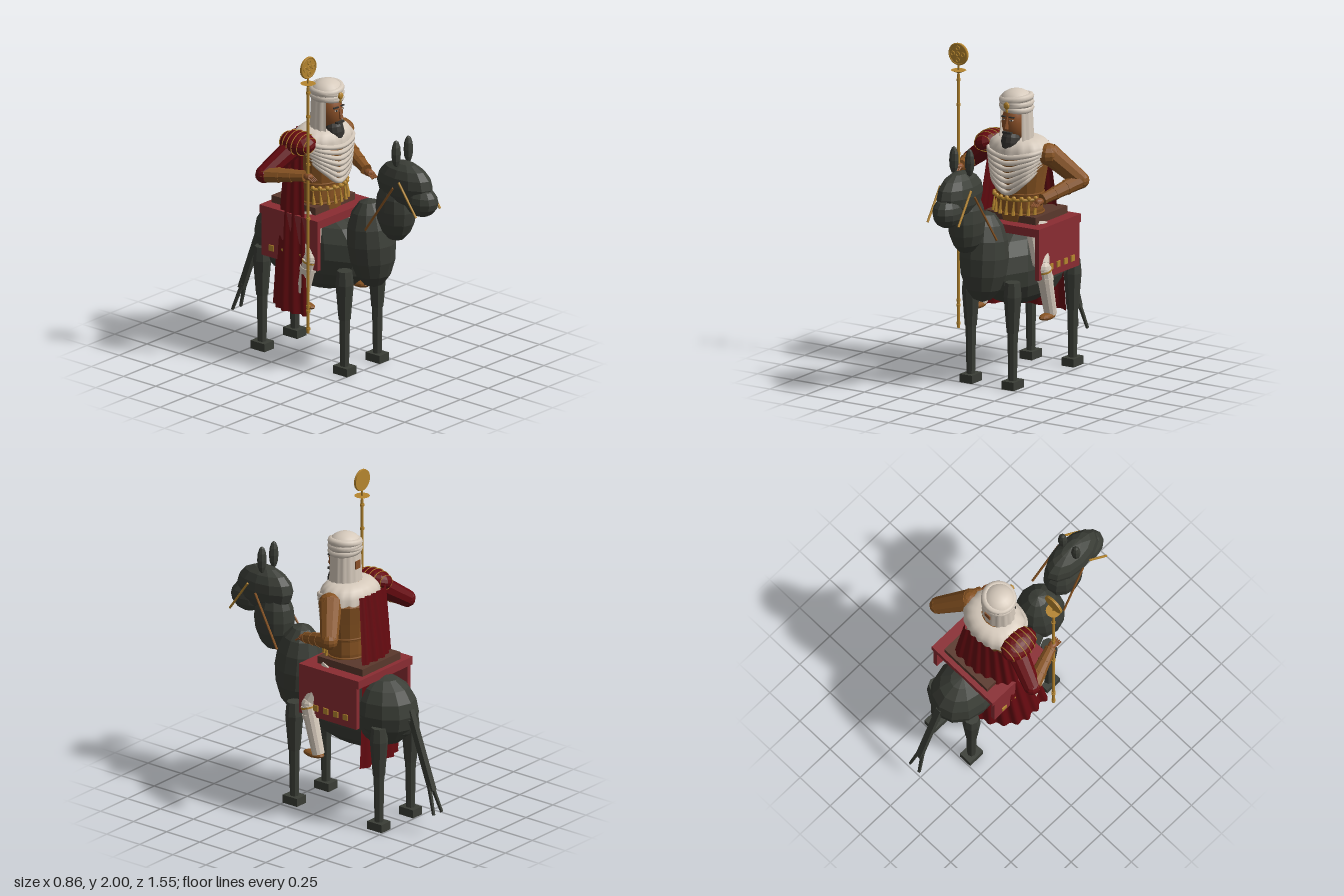
import * as THREE from 'three';

const mat = (name, color, side = THREE.FrontSide) => {
  const m = new THREE.MeshStandardMaterial({ color, side });
  m.name = name;
  return m;
};
const V = (x, y, z) => new THREE.Vector3(x, y, z);
const UP = V(0, 1, 0);

export function createModel() {
  const M = {
    hide: mat('dark hide', 0x3a3d36), cloth: mat('saddle cloth red', 0x8a2c32),
    cape: mat('deep red', 0x660a10, THREE.DoubleSide), leather: mat('brown leather', 0x875322),
    skin: mat('skin', 0x8a5028), linen: mat('linen', 0xd6cabc, THREE.DoubleSide),
    gold: mat('gold', 0xb5852e), saddle: mat('saddle brown', 0x5a382c), beard: mat('beard grey', 0x363430),
  };
  const model = new THREE.Group();
  const rig = new THREE.Group(); // horse and rider share one centre line
  rig.position.x = 0.033;
  rig.name = 'mountAndRider';
  model.add(rig);

  // helpers
  const flat = (g) => { const f = g.index ? g.toNonIndexed() : g; f.computeVertexNormals(); return f; };
  const add = (name, geo, m, p = [0, 0, 0], rot = [0, 0, 0], parent = rig) => {
    const mesh = new THREE.Mesh(geo, m);
    mesh.name = name;
    mesh.position.set(...p);
    mesh.rotation.set(...rot);
    parent.add(mesh);
    return mesh;
  };
  const box = (name, size, m, p, rot) => add(name, new THREE.BoxGeometry(...size), m, p, rot);
  const ball = (name, r, m, p, rot, ws = 12, hs = 8, smooth = false) => {
    const g = new THREE.SphereGeometry(1, ws, hs).scale(...r);
    return add(name, smooth ? g : flat(g), m, p, rot);
  };
  const limb = (name, a, b, ra, rb, m, sides = 8, parent = rig) => {
    const A = V(...a), B = V(...b), d = B.clone().sub(A);
    const mesh = add(name, flat(new THREE.CylinderGeometry(rb, ra, d.length(), sides)), m,
      A.clone().add(B).multiplyScalar(0.5).toArray(), [0, 0, 0], parent);
    mesh.quaternion.setFromUnitVectors(UP, d.normalize());
    return mesh;
  };
  const tube = (name, pts, r, m, seg = 16, sides = 6) =>
    add(name, new THREE.TubeGeometry(new THREE.CatmullRomCurve3(pts.map((p) => V(...p))), seg, r, sides), m);
  // sheet or shell from a point rule over a u-v grid
  const grid = (nu, nv, fn) => {
    const g = new THREE.PlaneGeometry(1, 1, nu, nv), pos = g.attributes.position;
    for (let i = 0; i < pos.count; i++) {
      pos.setXYZ(i, ...fn((i % (nu + 1)) / nu, Math.floor(i / (nu + 1)) / nv));
    }
    g.computeVertexNormals();
    return g;
  };

  // horse body, neck and head
  ball('horseBarrel', [0.19, 0.25, 0.43], M.hide, [0, 0.68, -0.155]);
  ball('horseRump', [0.18, 0.215, 0.22], M.hide, [0, 0.7, -0.36]);
  ball('horseChest', [0.145, 0.275, 0.15], M.hide, [0, 0.8, 0.28], [-0.08, 0, 0]);
  ball('horseNeck', [0.105, 0.2, 0.13], M.hide, [0, 1.06, 0.47]);
  ball('horseHead', [0.1, 0.14, 0.2], M.hide, [0, 1.235, 0.54]);
  ball('horseMuzzle', [0.085, 0.095, 0.115], M.hide, [0, 1.155, 0.665]);

  for (const s of [-1, 1]) {
    ball('horseEar', [0.03, 0.085, 0.027], M.hide, [s * 0.055, 1.43, 0.52], [0, 0, 0], 8, 6);
    for (const z of [0.2, -0.44]) {
      limb('horseUpperLeg', [s * 0.147, 0.34, z], [s * 0.147, 0.56, z], 0.036, 0.054, M.hide);
      limb('horseShoulder', [s * 0.147, 0.56, z], [s * 0.147, 0.645, z], 0.054, 0.045, M.hide);
      limb('horseLowerLeg', [s * 0.147, 0.04, z], [s * 0.147, 0.35, z], 0.026, 0.032, M.hide);
      box('hoof', [0.085, 0.05, 0.108], M.hide, [s * 0.147, 0.025, z]);
    }
    limb('tailStrand', [s * 0.012, 0.3, -0.71], [s * 0.037, 0.135, -0.765], 0.013, 0.01, M.hide, 4);
    // bridle cheek bar and rein
    limb('cheekBar', [s * 0.108, 1.28, 0.585], [s * 0.108, 1.09, 0.72], 0.007, 0.007, M.gold, 6);
    limb('rein', [s * 0.1, 1.23, 0.535], [s * 0.13, 0.93, 0.345], 0.007, 0.007, M.leather, 6);
    // saddle cloth side with square medallions
    box('clothPanel', [0.028, 0.31, 0.435], M.cloth, [s * 0.238, 0.795, -0.137]);
    for (let i = 0; i < 4; i++) {
      box('medallion', [0.008, 0.036, 0.036], M.gold, [s * 0.255, 0.7, -0.05 - i * 0.075]);
    }
  }
  const tail = limb('tail', [0, 0.74, -0.555], [0, 0.27, -0.725], 0.026, 0.026, M.hide, 4);
  tail.geometry.rotateY(Math.PI / 4);
  box('clothTop', [0.505, 0.05, 0.45], M.cloth, [0, 0.925, -0.145]);
  box('saddle', [0.355, 0.045, 0.34], M.saddle, [0, 0.972, -0.17]);

  // torso: elliptical profile rounded into the shoulders
  const torso = new THREE.LatheGeometry([[0, 0.94], [0.13, 0.94], [0.145, 1.02], [0.145, 1.1], [0.165, 1.22],
    [0.185, 1.33], [0.15, 1.4], [0.07, 1.45], [0, 1.45]].map((p) => new THREE.Vector2(...p)), 16).scale(1, 1, 0.82);
  add('torso', flat(torso), M.leather, [0, 0, -0.1]);
  for (const y of [1.0, 1.12]) {
    add('bodiceBand', new THREE.TorusGeometry(0.15, 0.006, 6, 24).rotateX(Math.PI / 2).scale(1, 1, 0.82),
      M.leather, [0, y, -0.1]);
  }
  // gold belt with hanging pendants
  for (let i = 0; i < 9; i++) {
    const a = (i - 4) * 0.3, x = Math.sin(a) * 0.155, z = -0.1 + Math.cos(a) * 0.14;
    limb('beltPendant', [x, 1.0, z + 0.01], [x, 1.08, z], 0.012, 0.003, M.gold, 6);
    ball('beltBead', [0.014, 0.014, 0.014], M.gold, [x, 1.1, z], [0, 0, 0], 8, 6);
  }
  const belt = [-1.3, -0.65, 0, 0.65, 1.3].map((a) => [Math.sin(a) * 0.155, 1.09, -0.1 + Math.cos(a) * 0.135]);
  tube('belt', belt, 0.009, M.gold);

  // pleated mantle with a scalloped hem, and swags over the chest
  add('mantle', grid(64, 6, (u, v) => {
    const a = u * Math.PI * 2, pleat = 1 + 0.025 * Math.sin(a * 16) * v;
    const r = (0.085 + 0.12 * Math.sin(v * Math.PI / 2)) * pleat;
    const y = 1.455 - 0.1 * v * v - (v > 0.9 ? 0.012 * Math.abs(Math.sin(a * 8)) : 0);
    return [Math.sin(a) * r, y, -0.1 + Math.cos(a) * r * 0.78];
  }), M.linen);
  for (let i = 0; i < 7; i++) {
    const dip = 1.35 - i * 0.037, w = 0.19 - i * 0.006, y = 1.39 - i * 0.018;
    tube('swag', [[-w, y, -0.08], [-w * 0.72, y - (y - dip) * 0.5, 0.02], [0, dip, 0.058 - i * 0.003],
      [w * 0.72, y - (y - dip) * 0.5, 0.02], [w, y, -0.08]], 0.016, M.linen, 20);
  }

  // head, beard and face
  limb('neck', [0, 1.4, -0.08], [0, 1.5, -0.07], 0.055, 0.05, M.skin, 12);
  ball('face', [0.073, 0.115, 0.085], M.skin, [0, 1.55, -0.045], [0, 0, 0], 18, 12, true);
  limb('nose', [0, 1.52, 0.048], [0, 1.59, 0.03], 0.014, 0.006, M.skin, 6);
  ball('beard', [0.06, 0.085, 0.058], M.beard, [0, 1.43, -0.005], [-0.15, 0, 0], 12, 8);
  box('moustache', [0.06, 0.012, 0.02], M.beard, [0, 1.495, 0.036]);
  for (const s of [-1, 1]) {
    box('eye', [0.02, 0.007, 0.008], M.linen, [s * 0.028, 1.572, 0.032], [0, s * 0.3, 0]);
    box('pupil', [0.008, 0.008, 0.009], M.beard, [s * 0.028, 1.572, 0.034], [0, s * 0.3, 0]);
    box('brow', [0.034, 0.007, 0.012], M.beard, [s * 0.028, 1.59, 0.03], [0, s * 0.3, -s * 0.1]);
  }
  // turban and veil
  ball('turbanCrown', [0.1, 0.075, 0.098], M.linen, [0, 1.668, -0.065], [0, 0, 0], 20, 12, true);
  for (let i = 0; i < 4; i++) {
    add('turbanWrap', new THREE.TorusGeometry(0.083, 0.022, 8, 28).rotateX(Math.PI / 2), M.linen,
      [0, 1.637 + i * 0.017, -0.065], [0.05, 0, (i % 2 ? 1 : -1) * 0.12]);
  }
  ball('turbanJewel', [0.02, 0.022, 0.012], M.gold, [0, 1.66, 0.042], [0, 0, 0], 10, 8);
  ball('jewelDrop', [0.008, 0.014, 0.007], M.gold, [0, 1.628, 0.04], [0, 0, 0], 8, 6);
  add('veil', grid(40, 6, (u, v) => {
    const a = 0.82 + u * (Math.PI * 2 - 1.64), r = 0.094 + 0.012 * v + 0.003 * Math.sin(u * 70);
    return [Math.sin(a) * r, 1.65 - 0.26 * v, -0.068 + Math.cos(a) * r * 0.88];
  }), M.linen);
  box('veilPatch', [0.045, 0.05, 0.006], M.skin, [0, 1.56, -0.161]);

  // cape wrapping from the right shoulder round the back
  const rail = (pts) => new THREE.CatmullRomCurve3(pts.map((p) => V(...p)));
  const top = rail([[-0.2, 1.38, -0.08], [-0.19, 1.39, -0.21], [-0.05, 1.4, -0.265], [0.1, 1.4, -0.26]]);
  const hem = rail([[-0.3, 0.36, 0.04], [-0.3, 0.36, -0.18], [-0.13, 0.36, -0.335], [0.18, 0.36, -0.335]]);
  add('cape', grid(64, 14, (u, v) => {
    const p = top.getPoint(u).lerp(hem.getPoint(u), v), w = Math.sin(u * 55) * (0.008 + 0.006 * v);
    return [p.x - w * (1 - u), p.y, p.z - w * u - 0.02 * Math.sin(v * Math.PI) * u];
  }), M.cape);

  // arms
  const hand = (name, p, dir) => {
    ball(name, [0.026, 0.022, 0.034], M.skin, p, [0, 0, 0], 10, 8);
    for (let i = 0; i < 4; i++) {
      const x = p[0] + (i - 1.5) * 0.013;
      limb('finger', [x, p[1], p[2] + 0.015], [x + dir * 0.004, p[1] - 0.022, p[2] + 0.05], 0.007, 0.005, M.skin, 6);
    }
  };
  const arm = (side, shoulder, elbow, wrist, upper) => {
    limb(side + 'UpperArm', shoulder, elbow, 0.066, 0.052, upper, 10);
    ball(side + 'Elbow', [0.052, 0.052, 0.052], upper, elbow, [0, 0, 0], 10, 8);
    limb(side + 'Forearm', elbow, wrist, 0.05, 0.032, M.leather, 10);
    for (const t of [0.35, 0.65, 0.95]) {
      const p = V(...elbow).lerp(V(...wrist), t), q = V(...elbow).lerp(V(...wrist), t + 0.05);
      limb('bracerBand', p.toArray(), q.toArray(), 0.053 - t * 0.018, 0.052 - t * 0.018, M.leather, 10);
    }
  };
  arm('left', [0.19, 1.37, -0.11], [0.345, 1.2, -0.225], [0.245, 1.125, 0.03], M.leather);
  ball('leftShoulder', [0.068, 0.066, 0.072], M.leather, [0.195, 1.36, -0.11], [0, 0, 0], 10, 8);
  hand('leftHand', [0.238, 1.115, 0.055], -1);
  arm('right', [-0.2, 1.37, -0.13], [-0.41, 1.225, -0.2], [-0.325, 1.25, 0.04], M.cape);
  hand('rightHand', [-0.318, 1.25, 0.065], 1);

  // draped pauldron with gold threads
  ball('pauldron', [0.085, 0.065, 0.125], M.cape, [-0.21, 1.39, -0.11], [0, 0, 0.3], 14, 10);
  for (let i = 0; i < 6; i++) {
    const t = -0.75 + i * 0.3, k = Math.sqrt(1 - t * t);
    add('goldThread', new THREE.TorusGeometry(1, 0.04, 4, 24).scale(0.086 * k, 0.067 * k, 0.08),
      M.gold, [-0.21, 1.39, -0.11 + t * 0.125], [0, 0, 0.3]);
  }

  // rider's legs
  for (const s of [-1, 1]) {
    const x = s * 0.243;
    limb('thigh', [s * 0.13, 0.93, -0.08], [x - s * 0.02, 0.72, 0.01], 0.075, 0.05, M.linen, 12);
    ball('knee', [0.045, 0.05, 0.048], M.linen, [x - s * 0.005, 0.7, 0.015], [0, 0, 0], 10, 8);
    limb('shin', [x, 0.41, -0.06], [x, 0.7, 0.015], 0.038, 0.047, M.linen, 12);
    limb('gaiterCuff', [x, 0.625, -0.004], [x, 0.65, 0.002], 0.05, 0.05, M.linen, 12);
    limb('kneeBand', [x, 0.685, 0.011], [x, 0.695, 0.014], 0.049, 0.049, M.gold, 12);
    ball('shoe', [0.036, 0.022, 0.075], M.leather, [x, 0.402, -0.025], [0, 0, 0], 12, 8);
  }

  // staff with cup and rosette disc
  const staff = new THREE.Group();
  staff.name = 'staff';
  staff.position.set(-0.288, 0, 0.067);
  model.add(staff);
  limb('staffShaft', [0, 0.27, 0], [0, 1.81, 0], 0.009, 0.009, M.gold, 10, staff);
  for (const y of [0.29, 0.4, 0.43, 0.98, 1.32, 1.62, 1.77]) {
    limb('staffRing', [0, y, 0], [0, y + 0.014, 0], 0.013, 0.013, M.gold, 10, staff);
  }
  limb('staffCup', [0, 1.822, 0], [0, 1.836, 0], 0.015, 0.046, M.gold, 16, staff);
  limb('staffNeck', [0, 1.8, 0], [0, 1.88, 0], 0.006, 0.006, M.gold, 8, staff);
  add('staffDisc', new THREE.CylinderGeometry(0.066, 0.066, 0.012, 28).rotateX(Math.PI / 2), M.gold,
    [0, 1.934, 0], [0, 0, 0], staff);
  add('discRim', new THREE.TorusGeometry(0.062, 0.006, 6, 28), M.gold, [0, 1.934, 0.004], [0, 0, 0], staff);
  for (let i = 0; i < 5; i++) {
    const a = i * Math.PI / 2, r = i < 4 ? 0.036 : 0;
    add('discRosette', new THREE.TorusGeometry(0.012, 0.004, 6, 14), M.gold,
      [Math.cos(a) * r, 1.934 + Math.sin(a) * r, 0.008], [0, 0, 0], staff);
  }
  return model;
}
